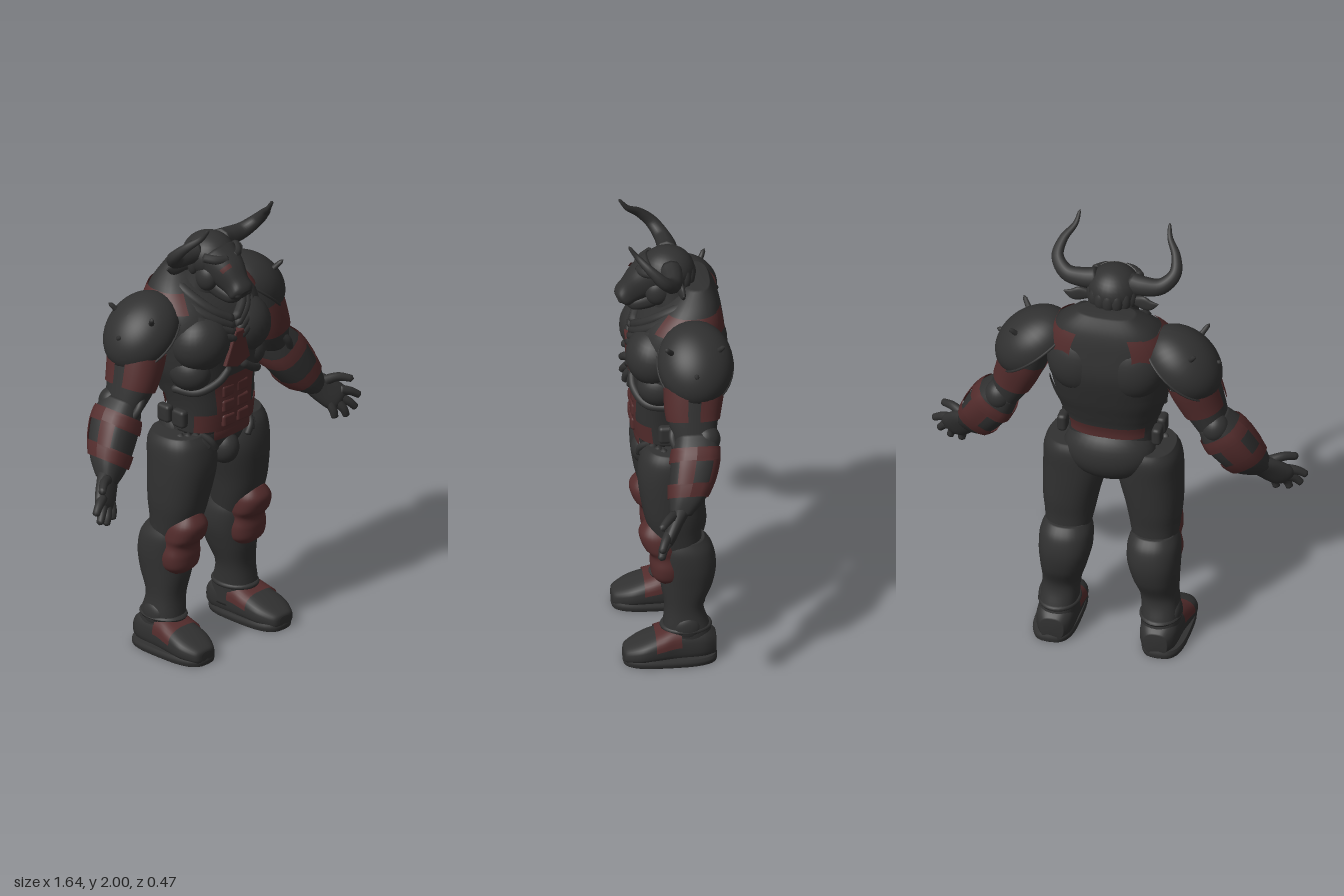
import * as THREE from 'three';
import { mergeVertices } from 'three/addons/utils/BufferGeometryUtils.js';
import { RoundedBoxGeometry } from 'three/addons/geometries/RoundedBoxGeometry.js';

const V = (p) => new THREE.Vector3(...p);
const X = [1, 0, 0], Y = [0, 1, 0], Z = [0, 0, 1];

// Surface through cross-sections [x, y, z, radiusU, radiusV]; t and a select a patch, grow lifts it.
function skin(secs, { u = X, v = Z, p = 2.3, t = [0, secs.length - 1], a = null, grow = 0 } = {}) {
  const U = V(u).normalize(), W = V(v).normalize();
  const rows = Math.max(3, Math.ceil((t[1] - t[0]) * 6)), cols = a ? 16 : 32;
  const at = (s) => {
    const n = secs.length, i = Math.min(n - 2, Math.floor(s)), f = s - i;
    const q = (k) => secs[Math.max(0, Math.min(n - 1, k))];
    return secs[0].map((_, k) => {
      const [A, B, C, D] = [q(i - 1)[k], q(i)[k], q(i + 1)[k], q(i + 2)[k]];
      return B + 0.5 * f * (C - A + f * (2 * A - 5 * B + 4 * C - D + f * (3 * (B - C) + D - A)));
    });
  };
  const bend = (c) => Math.sign(c) * Math.abs(c) ** (2 / p);
  const pos = [], idx = [], w = a ? cols + 1 : cols;
  for (let i = 0; i <= rows; i++) {
    const s = at(t[0] + (t[1] - t[0]) * i / rows);
    for (let j = 0; j < w; j++) {
      const g = a ? a[0] + (a[1] - a[0]) * j / cols : 2 * Math.PI * j / cols;
      pos.push(...V(s).addScaledVector(U, (s[3] + grow) * bend(Math.cos(g)))
        .addScaledVector(W, (s[4] + grow) * bend(Math.sin(g))).toArray());
    }
  }
  const flip = U.clone().cross(W).dot(V(secs[secs.length - 1]).sub(V(secs[0]))) < 0;
  const tri = (x, y, z) => (flip ? idx.push(x, z, y) : idx.push(x, y, z));
  for (let i = 0; i < rows; i++) for (let j = 0; j < cols; j++) {
    const k = (j + 1) % w, A = i * w + j, B = i * w + k, C = A + w, D = B + w;
    tri(A, B, C); tri(B, D, C);
  }
  if (!a) {
    const c = pos.length / 3, last = rows * w;
    pos.push(...at(t[0]).slice(0, 3), ...at(t[1]).slice(0, 3));
    for (let j = 0; j < cols; j++) {
      const k = (j + 1) % w;
      tri(c, k, j); tri(c + 1, last + j, last + k);
    }
  }
  const geo = new THREE.BufferGeometry();
  geo.setAttribute('position', new THREE.Float32BufferAttribute(pos, 3));
  geo.setIndex(idx);
  geo.computeVertexNormals();
  return geo;
}

// Closed tube tapering from r0 to r1 along a smooth path
function tube(points, r0, r1 = r0, n = 20) {
  const curve = new THREE.CatmullRomCurve3(points.map(V)), sides = 10;
  let geo = new THREE.TubeGeometry(curve, n, 1, sides);
  const pos = geo.attributes.position, q = new THREE.Vector3();
  for (let k = 0; k < pos.count; k++) {
    const i = Math.floor(k / (sides + 1)), c = curve.getPointAt(i / n);
    const r = i === 0 || i === n ? 0 : r0 + (r1 - r0) * i / n;
    q.fromBufferAttribute(pos, k).sub(c).multiplyScalar(r).add(c);
    pos.setXYZ(k, q.x, q.y, q.z);
  }
  geo.deleteAttribute('uv'); geo.deleteAttribute('normal');
  geo = mergeVertices(geo, 1e-5);
  geo.computeVertexNormals();
  return geo;
}

const ball = (x, y, z, rx, ry, rz, tilt = 0) =>
  new THREE.SphereGeometry(1, 28, 18).scale(rx, ry, rz).rotateZ(tilt).translate(x, y, z);
const block = (x, y, z, w, h, d) =>
  new RoundedBoxGeometry(w, h, d, 3, Math.min(w, h, d) * 0.4).translate(x, y, z);

function mirrored(geo) {
  const g = geo.index ? geo.clone() : mergeVertices(geo);
  g.scale(-1, 1, 1);
  const ix = g.index;
  for (let i = 0; i < ix.count; i += 3) {
    const b = ix.getX(i + 1);
    ix.setX(i + 1, ix.getX(i + 2)); ix.setX(i + 2, b);
  }
  g.computeVertexNormals();
  return g;
}

export function createModel() {
  const root = new THREE.Group();
  root.name = 'armouredBullWarrior';
  const mat = (name, color) => Object.assign(new THREE.MeshStandardMaterial({ color, side: THREE.DoubleSide }), { name });
  const dark = mat('charcoal', 0x313131), red = mat('darkRed', 0x532c2c);
  const add = (name, geo, m = dark) => {
    const mesh = new THREE.Mesh(geo, m);
    mesh.name = name;
    root.add(mesh);
  };
  const pair = (name, geo, m = dark) => {
    add(name + 'Left', geo, m);
    add(name + 'Right', mirrored(geo), m);
  };

  // Torso
  const torso = [[0, 1, 0.01, 0.185, 0.145], [0, 1.1, 0.02, 0.19, 0.145], [0, 1.2, 0.005, 0.212, 0.16],
    [0, 1.3, -0.01, 0.245, 0.18], [0, 1.44, -0.025, 0.262, 0.2], [0, 1.56, -0.045, 0.26, 0.17],
    [0, 1.65, -0.08, 0.205, 0.115], [0, 1.72, -0.105, 0.12, 0.055]];
  const tp = { p: 2.6 };
  add('torso', skin(torso, tp));
  pair('backStripe', skin(torso, { ...tp, t: [4.5, 5.9], a: [-1.15, -0.78], grow: 0.008 }), red);
  pair('collarStripe', skin(torso, { ...tp, t: [5.05, 5.85], a: [-0.8, 0.8], grow: 0.008 }), red);
  add('abdomenPanel', skin(torso, { ...tp, t: [0.1, 2.6], a: [1.12, 2.02], grow: 0.006 }), red);
  add('lowerAbdomenPanel', skin(torso, { ...tp, t: [0.2, 0.95], a: [0.45, 2.69], grow: 0.009 }), red);
  add('backBelt', skin(torso, { ...tp, t: [0.8, 1.35], a: [3.85, 5.57], grow: 0.008 }), red);
  add('backPlateRim', skin(torso, { ...tp, t: [1.7, 3.2], a: [3.3, 6.12], grow: 0.012 }));
  for (let i = 0; i < 3; i++)
    pair('abdominal' + i, block(0.042, 1.055 + i * 0.067, 0.16 - i * 0.002, 0.076, 0.059, 0.034), red);
  pair('pectoral', ball(0.125, 1.42, 0.08, 0.135, 0.13, 0.125, -0.15));
  pair('ribPlate', ball(0.165, 1.29, 0.06, 0.085, 0.09, 0.1, -0.3));
  pair('chestRim', tube([[0.03, 1.3, 0.168], [0.1, 1.25, 0.168], [0.18, 1.21, 0.12], [0.22, 1.21, 0]], 0.018));
  const gem = new THREE.Shape([[-0.02, 0.08], [0.02, 0.08], [0.068, -0.06], [0, -0.085], [-0.068, -0.06]].map((p) => new THREE.Vector2(...p)));
  add('chestPlate', new THREE.ExtrudeGeometry(gem, { depth: 0.02, bevelSize: 0.006, bevelThickness: 0.006 }).rotateX(0.08).translate(0, 1.38, 0.164), red);
  pair('shoulderBlade', ball(0.115, 1.47, -0.115, 0.14, 0.16, 0.112));

  // Scarf folds around the neck and chest
  for (let i = 0; i < 4; i++) {
    const d = i * 0.026;
    pair('scarfFold' + i, tube([[0.13 + d, 1.68 - d, -0.1], [0.14 + d * 0.9, 1.63 - d, 0.02],
      [0.09 + d * 0.7, 1.56 - d, 0.12 + d * 0.25], [0, 1.5 - d, 0.165 + d * 0.25]], 0.024, 0.02));
  }

  // Pelvis and belt
  const pelvis = [[0, 0.83, 0.01, 0.05, 0.07], [0, 0.91, 0, 0.15, 0.125], [0, 0.98, 0, 0.185, 0.145], [0, 1.03, 0.005, 0.18, 0.14]];
  add('pelvis', skin(pelvis, tp));
  add('pelvisPanel', skin(pelvis, { ...tp, t: [1.8, 3], a: [1.1, 2.04], grow: 0.014 }), red);
  add('seat', ball(0, 0.975, -0.05, 0.2, 0.14, 0.125));
  add('codpiece', ball(0, 0.895, 0.1, 0.062, 0.075, 0.07));
  pair('beltPouch', block(0.205, 1.075, 0.04, 0.042, 0.08, 0.07));
  pair('sidePouch', block(0.205, 1.075, -0.045, 0.042, 0.08, 0.07));
  for (let i = 0; i < 4; i++)
    pair('hipStrap' + i, tube([[0.095 + i * 0.033, 0.925 + i * 0.012, 0.145 - i * 0.008], [0.122 + i * 0.031, 0.97, 0.14 - i * 0.02],
      [0.15 + i * 0.021, 1.005, 0.1 - i * 0.02]], 0.015));

  // Legs
  pair('thigh', skin([[0.175, 1, 0, 0.095, 0.115], [0.165, 0.95, 0.005, 0.128, 0.14], [0.162, 0.85, 0.013, 0.138, 0.145],
    [0.18, 0.7, 0.008, 0.12, 0.13], [0.185, 0.6, 0, 0.105, 0.11], [0.19, 0.5, -0.02, 0.09, 0.09]]));
  pair('calf', skin([[0.19, 0.57, -0.025, 0.09, 0.095], [0.19, 0.52, -0.04, 0.11, 0.115], [0.192, 0.44, -0.05, 0.112, 0.12],
    [0.2, 0.35, -0.045, 0.098, 0.11], [0.213, 0.25, -0.032, 0.081, 0.083], [0.222, 0.15, -0.042, 0.083, 0.1], [0.222, 0.06, -0.05, 0.08, 0.11]]));
  pair('kneeGuard', skin([[0.202, 0.37, 0.03, 0.055, 0.045], [0.202, 0.4, 0.035, 0.083, 0.068], [0.202, 0.45, 0.04, 0.091, 0.07],
    [0.2, 0.5, 0.045, 0.083, 0.066], [0.197, 0.54, 0.06, 0.09, 0.08], [0.195, 0.6, 0.068, 0.083, 0.088], [0.193, 0.65, 0.075, 0.05, 0.05]]), red);
  pair('ankleCuff', new THREE.TorusGeometry(1, 0.14, 8, 28).rotateX(Math.PI / 2).scale(0.08, 0.08, 0.098).translate(0.22, 0.155, -0.04));
  pair('ankleDisc', ball(0.285, 0.165, -0.04, 0.025, 0.055, 0.055));

  // Boots
  const foot = [[0.225, 0.065, -0.165, 0.05, 0.05], [0.225, 0.08, -0.11, 0.08, 0.075], [0.228, 0.08, 0, 0.085, 0.08],
    [0.233, 0.072, 0.07, 0.092, 0.066], [0.238, 0.058, 0.15, 0.092, 0.05], [0.24, 0.042, 0.215, 0.06, 0.034], [0.24, 0.04, 0.228, 0.03, 0.02]];
  const fo = { u: X, v: Y, p: 2.7 };
  pair('boot', skin(foot, fo));
  pair('instepBand', skin(foot, { ...fo, t: [1.85, 3.3], a: [0.05, 3.09], grow: 0.007 }), red);
  pair('sole', skin([[0.236, 0, 0.03, 0.092, 0.198], [0.236, 0.018, 0.03, 0.097, 0.2], [0.236, 0.035, 0.03, 0.092, 0.195]], { p: 3 }));

  // Arms
  const upper = [[0.33, 1.52, -0.07, 0.09, 0.12], [0.365, 1.4, -0.06, 0.098, 0.122], [0.41, 1.28, -0.05, 0.085, 0.108], [0.455, 1.18, -0.055, 0.065, 0.085]];
  const uo = { u: [0.94, 0.34, 0] };
  pair('upperArm', skin(upper, uo));
  pair('upperArmFrontPlate', skin(upper, { ...uo, t: [0.8, 2.1], a: [0.2, 2.9], grow: 0.008 }), red);
  pair('upperArmBackPlate', skin(upper, { ...uo, t: [0.8, 2.1], a: [-2.6, -0.15], grow: 0.008 }), red);
  pair('upperArmBridge', skin(upper, { ...uo, t: [0.8, 1.2], a: [-0.15, 0.2], grow: 0.008 }), red);
  pair('elbowGuard', ball(0.47, 1.2, -0.1, 0.06, 0.065, 0.06));
  for (const [i, z] of [-0.02, 0.02].entries())
    pair('elbowCable' + i, tube([[0.41, 1.26, z], [0.455, 1.21, z + 0.02], [0.49, 1.15, z]], 0.018));
  const fore = [[0.45, 1.21, -0.06, 0.068, 0.085], [0.5, 1.135, -0.05, 0.093, 0.1], [0.555, 1.05, -0.03, 0.09, 0.094],
    [0.6, 0.98, -0.005, 0.075, 0.075], [0.64, 0.93, 0.025, 0.045, 0.045]];
  const go = { u: [0.83, 0.55, 0], p: 2.6 };
  pair('forearm', skin(fore, go));
  pair('forearmUpperBand', skin(fore, { ...go, t: [0.65, 1.25], a: [0, 2 * Math.PI], grow: 0.008 }), red);
  pair('forearmLowerBand', skin(fore, { ...go, t: [2.15, 2.85], a: [0, 2 * Math.PI], grow: 0.008 }), red);
  for (const [i, a] of [[-1.6, -0.65], [0, 0.6]].entries())
    pair('forearmSidePlate' + i, skin(fore, { ...go, t: [1.2, 2.2], a, grow: 0.008 }), red);

  // Hands
  pair('palm', skin([[0.61, 0.965, 0.01, 0.045, 0.04], [0.66, 0.92, 0.045, 0.06, 0.032], [0.71, 0.87, 0.08, 0.062, 0.028], [0.73, 0.85, 0.09, 0.045, 0.02]],
    { u: [0.75, 0.66, 0], v: [-0.3, 0.25, 0.92] }));
  const fingers = [[[0.66, 0.95, 0.05], [0.72, 0.962, 0.085], [0.775, 0.945, 0.125]],
    [[0.72, 0.9, 0.08], [0.77, 0.885, 0.105], [0.815, 0.855, 0.125]], [[0.72, 0.87, 0.08], [0.76, 0.84, 0.11], [0.79, 0.805, 0.125]],
    [[0.7, 0.86, 0.08], [0.725, 0.82, 0.11], [0.74, 0.78, 0.115]], [[0.67, 0.87, 0.07], [0.678, 0.825, 0.095], [0.685, 0.785, 0.1]]];
  fingers.forEach((f, i) => pair('finger' + i, tube(f, 0.023, 0.015, 12)));

  // Shoulder pads with spikes, tipped outward
  const pad = (g) => g.scale(0.187, 0.137, 0.16).rotateZ(-0.7).translate(0.322, 1.485, -0.07);
  pair('shoulderPad', pad(new THREE.SphereGeometry(1, 32, 20, 0, Math.PI * 2, 0, Math.PI * 0.56)));
  pair('shoulderPadRim', pad(new THREE.TorusGeometry(0.98, 0.045, 8, 36).rotateX(Math.PI / 2).translate(0, -0.15, 0)));
  [[[0.36, 1.55, 0.02], [0.405, 1.61, 0.065]], [[0.43, 1.5, -0.06], [0.49, 1.51, -0.06]], [[0.36, 1.55, -0.15], [0.405, 1.61, -0.185]]]
    .forEach((s, i) => pair('padSpike' + i, tube(s, 0.014, 0.009, 6)));

  // Head
  add('neck', skin([[0, 1.54, -0.05, 0.16, 0.13], [0, 1.64, -0.02, 0.12, 0.1], [0, 1.75, 0, 0.09, 0.08]]));
  add('skull', ball(0, 1.765, 0.015, 0.11, 0.098, 0.115));
  const muzzle = [[0, 1.765, 0.05, 0.098, 0.085], [0, 1.715, 0.125, 0.077, 0.074], [0, 1.67, 0.175, 0.056, 0.056],
    [0, 1.645, 0.205, 0.057, 0.045], [0, 1.638, 0.222, 0.035, 0.028]];
  const mo = { v: [0, 0.8, 0.6] };
  add('muzzle', skin(muzzle, mo));
  add('eye', skin(muzzle, { ...mo, t: [0.95, 1.2], a: [1.95, 2.65], grow: 0.006 }), red);
  add('jaw', skin([[0, 1.67, 0.04, 0.08, 0.05], [0, 1.63, 0.11, 0.06, 0.042], [0, 1.61, 0.165, 0.042, 0.032], [0, 1.605, 0.185, 0.02, 0.015]], { v: [0, 0.9, 0.4] }));
  pair('nostril', ball(0.03, 1.645, 0.212, 0.02, 0.018, 0.016));
  pair('brow', tube([[0.015, 1.78, 0.138], [0.06, 1.785, 0.12], [0.1, 1.795, 0.07]], 0.02));
  pair('cheek', ball(0.065, 1.69, 0.06, 0.04, 0.06, 0.055));
  for (let i = 0; i < 9; i++) {
    const a = Math.PI * (1 + i / 8);
    add('maneTuft' + i, ball(0.088 * Math.cos(a), 1.745, 0.01 + 0.09 * Math.sin(a), 0.028, 0.05, 0.026));
  }
  pair('ear', skin([[0.09, 1.735, -0.02, 0.018, 0.015], [0.14, 1.735, -0.03, 0.032, 0.014], [0.175, 1.73, -0.035, 0.022, 0.01], [0.205, 1.74, -0.035, 0.003, 0.003]], { u: Y, v: Z }));
  pair('horn', tube([[0.06, 1.8, 0.01], [0.13, 1.795, 0.005], [0.205, 1.8, 0.015], [0.255, 1.845, 0.055],
    [0.245, 1.9, 0.11], [0.205, 1.95, 0.165], [0.195, 2, 0.2]], 0.049, 0.006, 36));

  return root;
}
